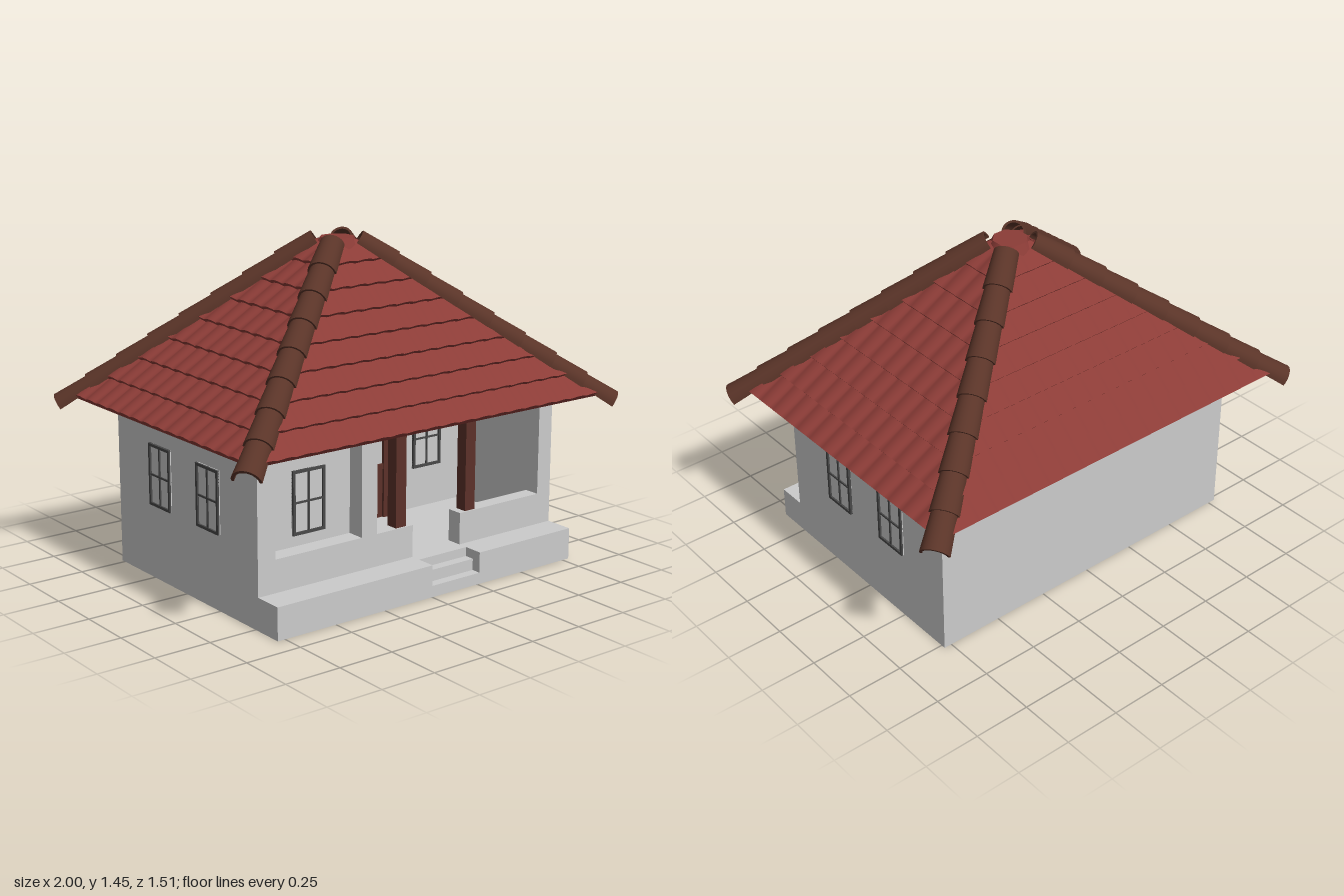
import * as THREE from 'three';
import { mergeGeometries, toCreasedNormals } from 'three/addons/utils/BufferGeometryUtils.js';

const mat = (color) => new THREE.MeshStandardMaterial({ color, side: THREE.DoubleSide });
const MAT = {
  wall: mat(0xcccccc), glass: mat(0xe6e6e6), frame: mat(0x484848), tile: mat(0x8c3c37),
  ridge: mat(0x5a3428), wood: mat(0x5c3129), soffit: mat(0x6b2b28), brass: mat(0x9a8038),
};
const HX = 0.785, HZ = 0.52, TOP = 0.75;

function mesh(name, geometry, material, x = 0, y = 0, z = 0) {
  const m = new THREE.Mesh(geometry, material);
  m.name = name;
  m.position.set(x, y, z);
  return m;
}

// Box given by its lower and upper corner
function block(name, material, x0, x1, y0, y1, z0, z1) {
  return mesh(name, new THREE.BoxGeometry(x1 - x0, y1 - y0, z1 - z0), material,
    (x0 + x1) / 2, (y0 + y1) / 2, (z0 + z1) / 2);
}

// Flat rectangles: u,v are x,y on a z face, x,z on a y face and z,y on an x face
function face(axis, sign, at, u0, u1, v0, v1) {
  const g = new THREE.PlaneGeometry(u1 - u0, v1 - v0);
  const u = (u0 + u1) / 2, v = (v0 + v1) / 2;
  if (axis === 'z') return (sign < 0 ? g.rotateY(Math.PI) : g).translate(u, v, at);
  if (axis === 'y') return g.rotateX(-sign * Math.PI / 2).translate(u, at, v);
  return g.rotateY(sign * Math.PI / 2).translate(at, v, u);
}

// Hollow house shell, open underneath
function makeWalls() {
  const f = [face('z', -1, -HZ, -HX, HX, 0, TOP)];
  for (const s of [-1, 1]) {
    f.push(face('x', s, s * HX, -HZ, HZ, 0, TOP), face('x', s, s * HX, HZ, 0.65, 0, 0.14));
  }
  // ledge on both sides of the steps
  for (const [a, b] of [[-HX, 0], [0.26, HX]]) {
    f.push(face('z', 1, 0.65, a, b, 0, 0.14), face('y', 1, 0.14, a, b, HZ, 0.65));
  }
  // steps cut into the ledge
  f.push(face('z', 1, 0.65, 0, 0.26, 0, 0.05), face('y', 1, 0.05, 0, 0.26, 0.607, 0.65),
    face('z', 1, 0.607, 0, 0.26, 0.05, 0.10), face('y', 1, 0.10, 0, 0.26, 0.563, 0.607),
    face('z', 1, 0.563, 0, 0.26, 0.10, 0.14), face('y', 1, 0.14, 0, 0.26, 0.45, 0.563));
  for (const [x, s] of [[0, 1], [0.26, -1]]) {
    f.push(face('x', s, x, 0.607, 0.65, 0.05, 0.14), face('x', s, x, 0.563, 0.607, 0.10, 0.14));
  }
  // front wall piers, and the low walls below the openings
  for (const [a, b] of [[-HX, -0.70], [-0.27, -0.19], [0.71, HX]]) f.push(face('z', 1, HZ, a, b, 0.14, TOP));
  for (const [a, b] of [[-0.70, -0.27], [-0.19, 0], [0.26, 0.71]]) f.push(face('z', 1, HZ, a, b, 0.14, 0.28));
  // window recess
  f.push(face('z', 1, 0.44, -0.70, -0.27, 0.28, TOP), face('y', 1, 0.28, -0.70, -0.27, 0.44, HZ),
    face('x', 1, -0.70, 0.44, HZ, 0.28, TOP), face('x', -1, -0.27, 0.44, HZ, 0.28, TOP));
  // porch
  f.push(face('z', 1, 0.01, -0.19, 0.71, 0.14, TOP), face('y', 1, 0.14, -0.19, 0.71, 0.01, 0.45),
    face('x', 1, -0.19, 0.01, HZ, 0.14, TOP), face('x', -1, 0.71, 0.01, HZ, 0.14, TOP));
  for (const [a, b, end, s] of [[-0.19, 0, 0, 1], [0.26, 0.71, 0.26, -1]]) {
    f.push(face('y', 1, 0.28, a, b, 0.45, HZ), face('z', -1, 0.45, a, b, 0.14, 0.28),
      face('x', s, end, 0.45, HZ, 0.14, 0.28));
  }
  return mesh('walls', mergeGeometries(f), MAT.wall);
}

// Four-pane window facing +z, centred on its origin
function makeWindow(name) {
  const g = new THREE.Group(), w = 0.08, h = 0.135, b = 0.012;
  g.name = name;
  g.add(block('glass', MAT.glass, -w, w, -h, h, 0, 0.004));
  for (const s of [-1, 1]) {
    g.add(block('frameSide', MAT.frame, s * (w - b / 2) - b / 2, s * (w - b / 2) + b / 2, -h, h, 0, 0.012));
    g.add(block('frameRail', MAT.frame, -w, w, s * (h - b / 2) - b / 2, s * (h - b / 2) + b / 2, 0, 0.012));
  }
  g.add(block('verticalBar', MAT.frame, -0.004, 0.004, -h, h, 0, 0.01));
  g.add(block('horizontalBar', MAT.frame, -w, w, -0.004, 0.004, 0, 0.01));
  return g;
}

function makeDoor() {
  const g = new THREE.Group(), z = 0.012;
  g.name = 'door';
  g.add(block('doorPanel', MAT.wood, 0.03, 0.235, 0.14, 0.385, z, z + 0.014));
  g.add(block('doorGlass', MAT.glass, 0.03, 0.235, 0.385, 0.61, z, z + 0.01));
  g.add(block('doorRail', MAT.wood, 0.03, 0.235, 0.365, 0.388, z, z + 0.022));
  g.add(block('doorHead', MAT.wood, 0, 0.265, 0.61, 0.64, z, z + 0.025));
  for (const x of [0, 0.235]) g.add(block('doorStile', MAT.wood, x, x + 0.03, 0.14, 0.61, z, z + 0.025));
  const knob = mesh('knob', new THREE.SphereGeometry(0.013, 12, 8), MAT.brass, 0.018, 0.345, z + 0.038);
  g.add(knob);
  return g;
}

// One roof side of overlapping, rippled tile courses, facing +z
function makeRoofSide(w0, w1, d0, d1) {
  const y0 = 0.735, y1 = 1.41, courses = 8, period = 0.09, step = period / 6;
  const cols = Math.ceil(2 * w0 / step);
  const n = new THREE.Vector2(y1 - y0, d0 - d1).normalize(); // (z, y) of the slope normal
  const pos = [], index = [];
  for (let i = 0; i < courses; i++) {
    const rows = [[i, -0.004, 0], [i, 0.016, 1], [i + 1, 0, 1]];
    rows.forEach(([k, lift, ripple], r) => {
      const t = k / courses, hw = w0 + (w1 - w0) * t;
      for (let c = 0; c <= cols; c++) {
        const x = THREE.MathUtils.clamp(-w0 + c * step, -hw, hw);
        const l = lift + ripple * 0.01 * Math.abs(Math.sin(Math.PI * x / period));
        pos.push(x, y0 + (y1 - y0) * t + n.y * l, d0 + (d1 - d0) * t + n.x * l);
        if (r < 2 && c < cols) {
          const a = (i * 3 + r) * (cols + 1) + c, b = a + cols + 1;
          index.push(a, a + 1, b + 1, a, b + 1, b);
        }
      }
    });
  }
  const g = new THREE.BufferGeometry();
  g.setAttribute('position', new THREE.Float32BufferAttribute(pos, 3));
  g.setIndex(index);
  return toCreasedNormals(g, 0.7);
}

// Overlapping half-round tiles running up one corner
function makeHip(sx, sz) {
  const g = new THREE.Group(), count = 8;
  g.name = 'hipTiles';
  const a = new THREE.Vector3(sx * 0.955, 0.69, sz * 0.70), b = new THREE.Vector3(sx * 0.075, 1.395, sz * 0.062);
  const along = b.clone().sub(a), len = along.length() / count;
  along.normalize();
  const across = new THREE.Vector3().crossVectors(along, new THREE.Vector3(0, 1, 0)).normalize();
  const out = new THREE.Vector3().crossVectors(across, along);
  const profile = [[0.05, 0], [0.062, 0], [0.053, len * 1.1], [0.043, len * 1.1], [0.05, 0]]
    .map(([r, y]) => new THREE.Vector2(r, y));
  const geo = toCreasedNormals(new THREE.LatheGeometry(profile, 12, -Math.PI / 2, Math.PI), 0.6);
  for (let i = 0; i < count; i++) {
    const tile = mesh('hipTile', geo, MAT.ridge);
    tile.quaternion.setFromRotationMatrix(new THREE.Matrix4().makeBasis(across, along, out));
    tile.position.copy(a).addScaledVector(along, i * len);
    g.add(tile);
  }
  return g;
}

function makeRoof() {
  const g = new THREE.Group();
  g.name = 'roof';
  const long = makeRoofSide(0.92, 0.06, 0.69, 0.05), short = makeRoofSide(0.69, 0.05, 0.92, 0.06);
  for (let k = 0; k < 4; k++) {
    const side = mesh('roofTiles', k % 2 ? short : long, MAT.tile);
    side.rotation.y = k * Math.PI / 2;
    g.add(side);
  }
  g.add(block('soffit', MAT.soffit, -0.915, 0.915, 0.735, 0.745, -0.685, 0.685));
  const cap = new THREE.CylinderGeometry(0.075, 0.1, 0.05, 8).rotateY(Math.PI / 8);
  g.add(mesh('roofCap', cap.toNonIndexed(), MAT.tile, 0, 1.4, 0));
  for (const sx of [-1, 1]) for (const sz of [-1, 1]) g.add(makeHip(sx, sz));
  return g;
}

export function createModel() {
  const house = new THREE.Group();
  house.name = 'house';
  house.add(makeWalls(), makeDoor(), makeRoof());

  // porch columns on the low walls
  for (const x of [-0.058, 0.322]) {
    house.add(block('porchColumn', MAT.wood, x - 0.027, x + 0.027, 0.28, 0.74, 0.458, 0.512));
  }

  // front windows, then two on each side wall
  for (const [x, z] of [[-0.483, 0.44], [0.498, 0.01]]) {
    const w = makeWindow('frontWindow');
    w.position.set(x, 0.463, z);
    house.add(w);
  }
  for (const s of [-1, 1]) for (const z of [-0.18, 0.18]) {
    const w = makeWindow('sideWindow');
    w.position.set(s * HX, 0.463, z);
    w.rotation.y = s * Math.PI / 2;
    house.add(w);
  }
  return house;
}
